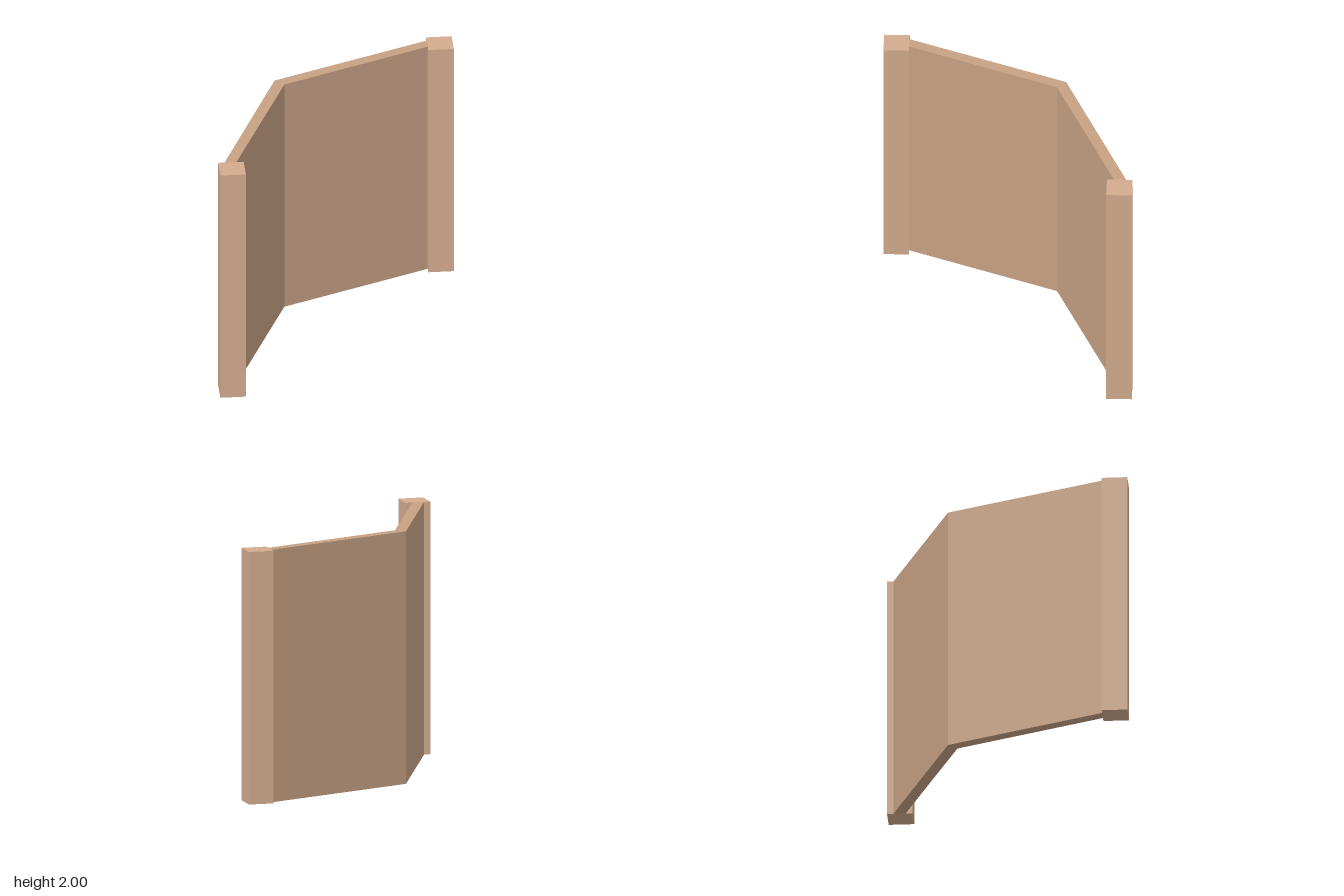
import * as THREE from 'three';

const HEIGHT = 2;
const POST = 0.2;

export function createModel() {
  const group = new THREE.Group();
  const postMaterial = new THREE.MeshStandardMaterial({ color: 0xd2ab8e });
  const wallMaterial = new THREE.MeshStandardMaterial({ color: 0xc6a083 });

  // Square end posts at opposite corners of the footprint
  const postGeometry = new THREE.BoxGeometry(POST, HEIGHT, POST);
  for (const [name, x, z] of [['leftPost', 0.9, -0.9], ['rightPost', -0.9, 0.9]]) {
    const post = new THREE.Mesh(postGeometry, postMaterial);
    post.name = name;
    post.position.set(x, HEIGHT / 2, z);
    group.add(post);
  }

  // Folded wall: plan outline as [x, z], outer side then inner side
  const outline = [
    [0.8, -0.95], [-0.44, -0.44], [-0.95, 0.8],
    [-0.855, 0.8], [-0.37, -0.37], [0.8, -0.855],
  ];
  const plan = new THREE.Shape(outline.map(([x, z]) => new THREE.Vector2(x, -z)));
  const wallGeometry = new THREE.ExtrudeGeometry(plan, { depth: HEIGHT, bevelEnabled: false });
  wallGeometry.rotateX(-Math.PI / 2);
  const wall = new THREE.Mesh(wallGeometry, wallMaterial);
  wall.name = 'foldedWall';
  group.add(wall);

  return group;
}
